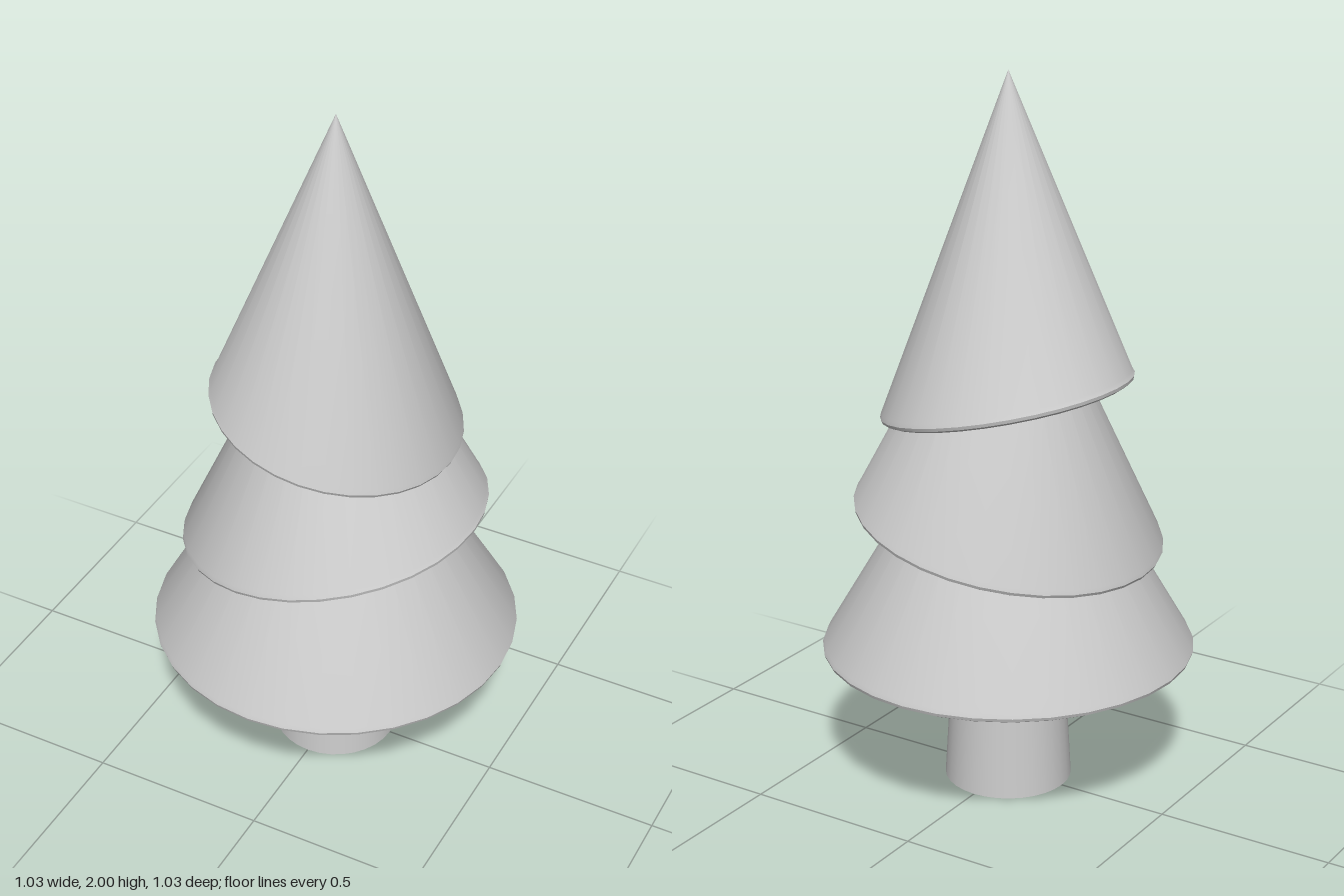
import * as THREE from 'three';
import { toCreasedNormals } from 'three/addons/utils/BufferGeometryUtils.js';

const SIDES = 32;

// One cone of foliage: softly bevelled rim, flat underside. The rim is tilted
// sideways while the tip stays on the trunk axis.
function makeTier(name, radius, bottom, tip, tilt, material) {
  const height = tip - bottom;
  const profile = [
    [0, 0],
    [radius - 0.014, 0],
    [radius - 0.003, 0.006],
    [radius, 0.015],
    [radius - 0.005, 0.027],
    [0, height],
  ].map(([x, y]) => new THREE.Vector2(x, y));

  const geometry = new THREE.LatheGeometry(profile, SIDES);
  const pos = geometry.attributes.position;
  const axis = new THREE.Vector3(0, 0, 1);
  const p = new THREE.Vector3();
  for (let i = 0; i < pos.count; i++) {
    p.fromBufferAttribute(pos, i);
    if (p.y < height - 0.001) p.applyAxisAngle(axis, tilt);
    pos.setXYZ(i, p.x, p.y, p.z);
  }

  const mesh = new THREE.Mesh(toCreasedNormals(geometry, 0.7), material);
  mesh.name = name;
  mesh.position.y = bottom;
  return mesh;
}

export function createModel() {
  const tree = new THREE.Group();
  tree.name = 'tree';
  const material = new THREE.MeshStandardMaterial({ color: 0xcccccc });

  // Tapered trunk, reaching slightly into the lowest tier
  const trunk = new THREE.Mesh(new THREE.CylinderGeometry(0.153, 0.178, 0.42, SIDES), material);
  trunk.name = 'trunk';
  trunk.position.y = 0.21;
  tree.add(trunk);

  // Three overlapping tiers, the upper two leaning opposite ways
  const tilt = THREE.MathUtils.degToRad;
  tree.add(
    makeTier('lowerTier', 0.517, 0.39, 1.29, 0, material),
    makeTier('middleTier', 0.43, 0.753, 1.63, tilt(10.9), material),
    makeTier('upperTier', 0.349, 1.108, 2, tilt(-12.2), material),
  );
  return tree;
}
